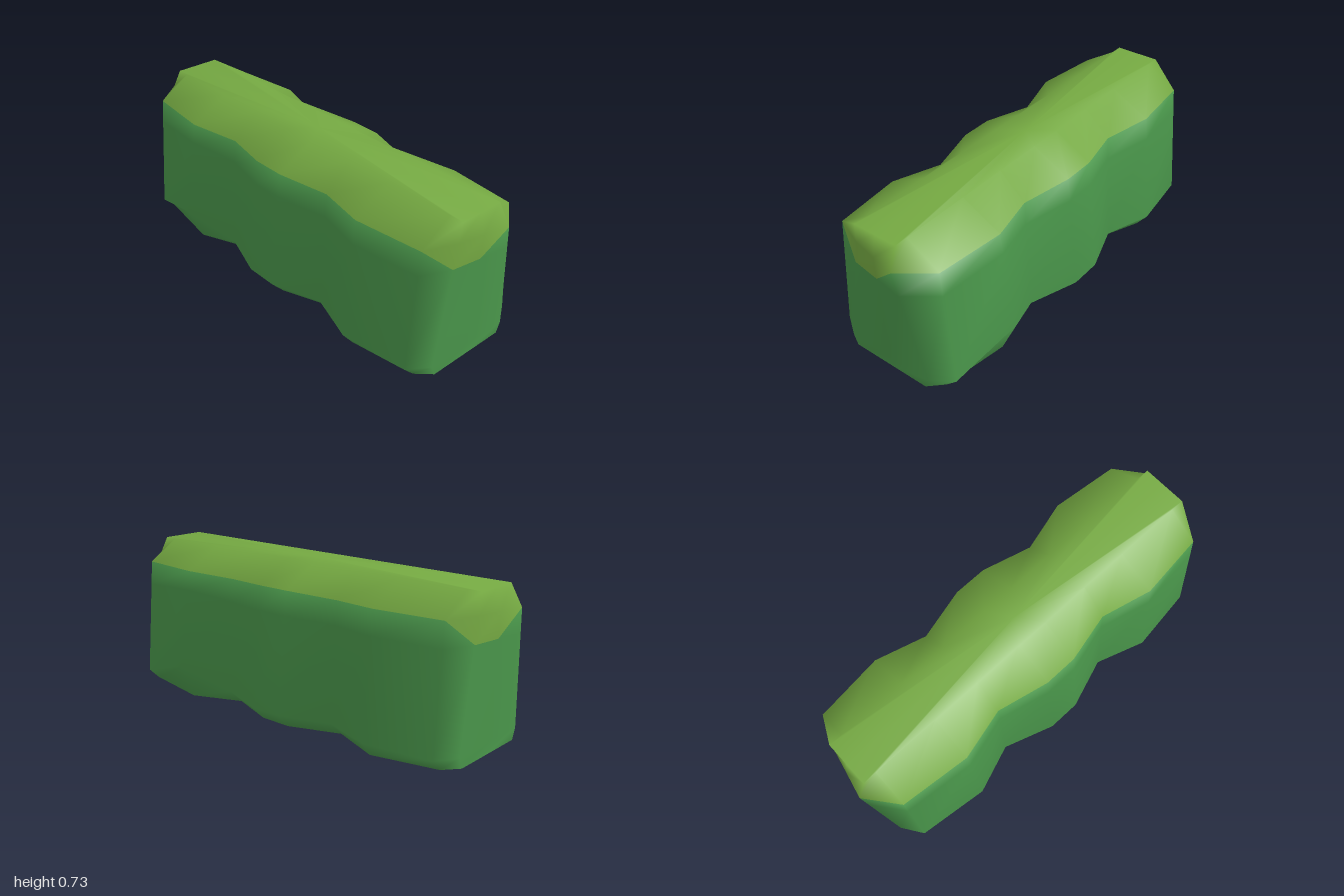
import * as THREE from 'three';

// Columns for half of the hedge outline, front left to right and round the end:
// [x low, z low, y low, x rim, z rim, y rim, x top, z top, z bottom, y bottom]
const station = (x, zLow, zRim, zBottom, yLow = 0.07, yRim = 0.635, yBottom = 0) =>
  [x, zLow, yLow, x, zRim, yRim, x, 0.11, zBottom, yBottom];
const HALF = [
  station(-0.885, 0.317, 0.267, 0.26, 0.07, 0.635, 0.015),
  station(-0.56, 0.374, 0.3, 0.3, 0.17),
  station(-0.32, 0.275, 0.237, 0.2, 0.07, 0.62),
  station(-0.08, 0.357, 0.295, 0.29),
  station(0.08, 0.357, 0.295, 0.29),
  station(0.32, 0.275, 0.237, 0.2, 0.07, 0.62),
  station(0.56, 0.356, 0.3, 0.3),
  station(0.885, 0.315, 0.265, 0.26, 0.07, 0.635, 0.015),
  [0.95, 0.22, 0.07, 0.945, 0.12, 0.635, 0.95, 0.11, 0.2, 0.02],
  [0.95, 0, 0.07, 0.972, 0, 0.635, 0.95, 0, 0, 0.02],
  [0.95, -0.22, 0.07, 1, -0.12, 0.635, 0.95, -0.11, -0.2, 0.02],
];
const ROWS = 5; // bottom, low, band, rim, top

export function createModel() {
  const foliage = new THREE.MeshStandardMaterial({ color: 0x4a974b, side: THREE.DoubleSide });
  foliage.name = 'dark leaf green';
  const crown = new THREE.MeshStandardMaterial({ color: 0x75a942, side: THREE.DoubleSide });
  crown.name = 'light leaf green';

  // Cross-section columns; the second half is the first turned by 180 degrees
  const points = [];
  for (const s of [1, -1]) {
    for (const [xl, zl, yl, xr, zr, yr, xt, zt, zb, yb] of HALF) {
      const low = new THREE.Vector3(xl, yl, zl);
      const rim = new THREE.Vector3(xr, yr, zr);
      const column = [
        new THREE.Vector3(xl, yb, zb), low, low.clone().lerp(rim, 0.8), rim,
        new THREE.Vector3(xt, 0.733, zt),
      ];
      for (const p of column) points.push(new THREE.Vector3(p.x * s, p.y, p.z * s));
    }
  }
  const count = HALF.length * 2;
  const centre = points.push(new THREE.Vector3(0, 0.733, 0)) - 1;

  // Walls, crown slope and crown top; the underside stays open
  const green = [], light = [];
  for (let i = 0; i < count; i++) {
    const k = i % HALF.length;
    const at = (side, row) => ((i + side) % count) * ROWS + row;
    for (let r = 0; r < ROWS - 1; r++) {
      const a = at(0, r), b = at(1, r), c = at(1, r + 1), d = at(0, r + 1);
      if (r === 2 && k === 7) {          // light patch tapers in at the corner
        green.push(a, b, d);
        light.push(b, c, d);
      } else if (r === 2 && k === 9) {   // and tapers out again
        green.push(a, b, c);
        light.push(a, c, d);
      } else {
        const list = r === 3 || (r === 2 && k === 8) ? light : green;
        list.push(a, b, c, a, c, d);
      }
    }
    light.push(at(0, 4), at(1, 4), centre);
  }

  const geometry = new THREE.BufferGeometry().setFromPoints(points);
  geometry.setIndex([...green, ...light]);
  geometry.addGroup(0, green.length, 0);
  geometry.addGroup(green.length, light.length, 1);
  geometry.computeVertexNormals();

  const hedge = new THREE.Mesh(geometry, [foliage, crown]);
  hedge.name = 'hedge';
  const group = new THREE.Group();
  group.name = 'hedgeRow';
  group.add(hedge);
  return group;
}
